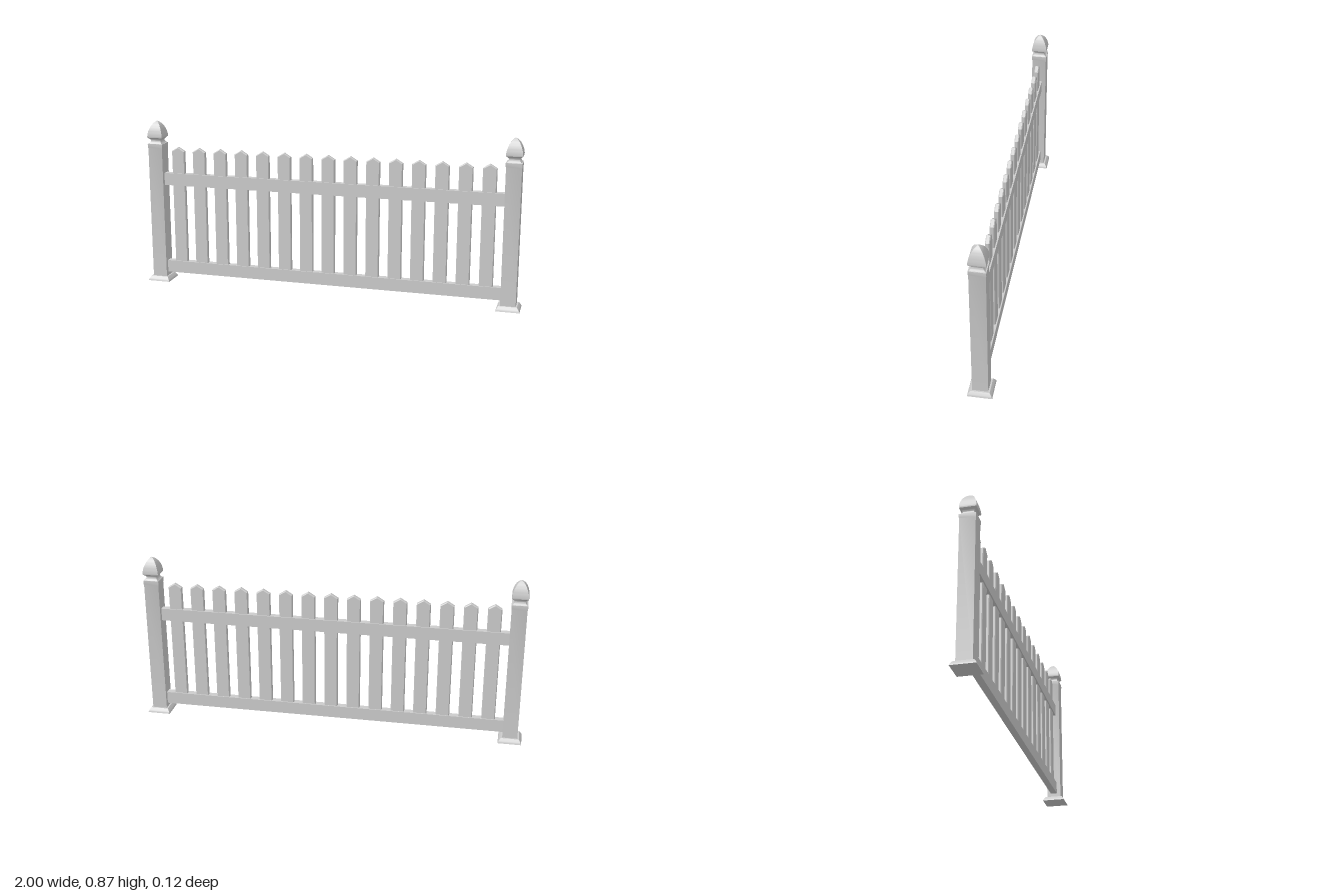
import * as THREE from 'three';
import { toCreasedNormals } from 'three/addons/utils/BufferGeometryUtils.js';

const material = new THREE.MeshStandardMaterial({ color: 0xcccccc });

function part(name, geometry, parent) {
  const mesh = new THREE.Mesh(geometry, material);
  mesh.name = name;
  parent.add(mesh);
  return mesh;
}

// Square-section solid: each profile point is [half width, height]
function squareLathe(profile) {
  const points = profile.map(([w, y]) => new THREE.Vector2(w * Math.SQRT2, y));
  return toCreasedNormals(new THREE.LatheGeometry(points, 4, Math.PI / 4), 0.5);
}

function curve(points, steps) {
  const spline = new THREE.SplineCurve(points.map(p => new THREE.Vector2(...p)));
  return spline.getPoints(steps).map(p => [Math.max(p.x, 0), p.y]);
}

function createPost(name, x) {
  const post = new THREE.Group();
  post.name = name;
  post.position.x = x;

  // Flared foot moulding
  part('postBase', squareLathe([
    [0, 0], [0.06, 0], [0.059, 0.004], [0.055, 0.012], [0.053, 0.014],
    [0.049, 0.021], [0.046, 0.024], [0.036, 0.024],
  ]), post);

  // Shaft, widening slightly into the collar
  part('postShaft', squareLathe([
    [0.0385, 0.01], [0.0385, 0.728], [0.0405, 0.736], [0.0405, 0.753], [0, 0.753],
  ]), post);

  // Finial: concave neck and pointed, four-sided dome
  part('finial', squareLathe([
    ...curve([[0.036, 0.753], [0.029, 0.762], [0.027, 0.769], [0.03, 0.777], [0.038, 0.784]], 10),
    ...curve([[0.0405, 0.786], [0.041, 0.796], [0.036, 0.821], [0.026, 0.845], [0.013, 0.863], [0, 0.873]], 18),
  ]), post);
  return post;
}

// Pointed picket with a small bevel around its faces
function createPicketGeometry() {
  const bevel = 0.004, w = 0.035 - bevel;
  const shape = new THREE.Shape([
    [-w, 0.07], [w, 0.07], [w, 0.713], [0, 0.732], [-w, 0.713],
  ].map(p => new THREE.Vector2(...p)));
  const geometry = new THREE.ExtrudeGeometry(shape, {
    depth: 0.014, bevelEnabled: true, bevelSegments: 1, bevelSize: bevel, bevelThickness: bevel,
  });
  return geometry.translate(0, 0, -0.007);
}

export function createModel() {
  const fence = new THREE.Group();
  fence.name = 'picketFence';

  fence.add(createPost('leftPost', 0.94), createPost('rightPost', -0.94));

  // Horizontal rails
  const railGeometry = new THREE.BoxGeometry(1.81, 0.065, 0.035);
  part('lowerRail', railGeometry, fence).position.y = 0.0775;
  part('upperRail', railGeometry, fence).position.y = 0.5625;

  // Evenly spaced pickets
  const picketGeometry = createPicketGeometry();
  for (let i = -7; i <= 7; i++) {
    part('picket', picketGeometry, fence).position.x = i * 0.1175;
  }
  return fence;
}
